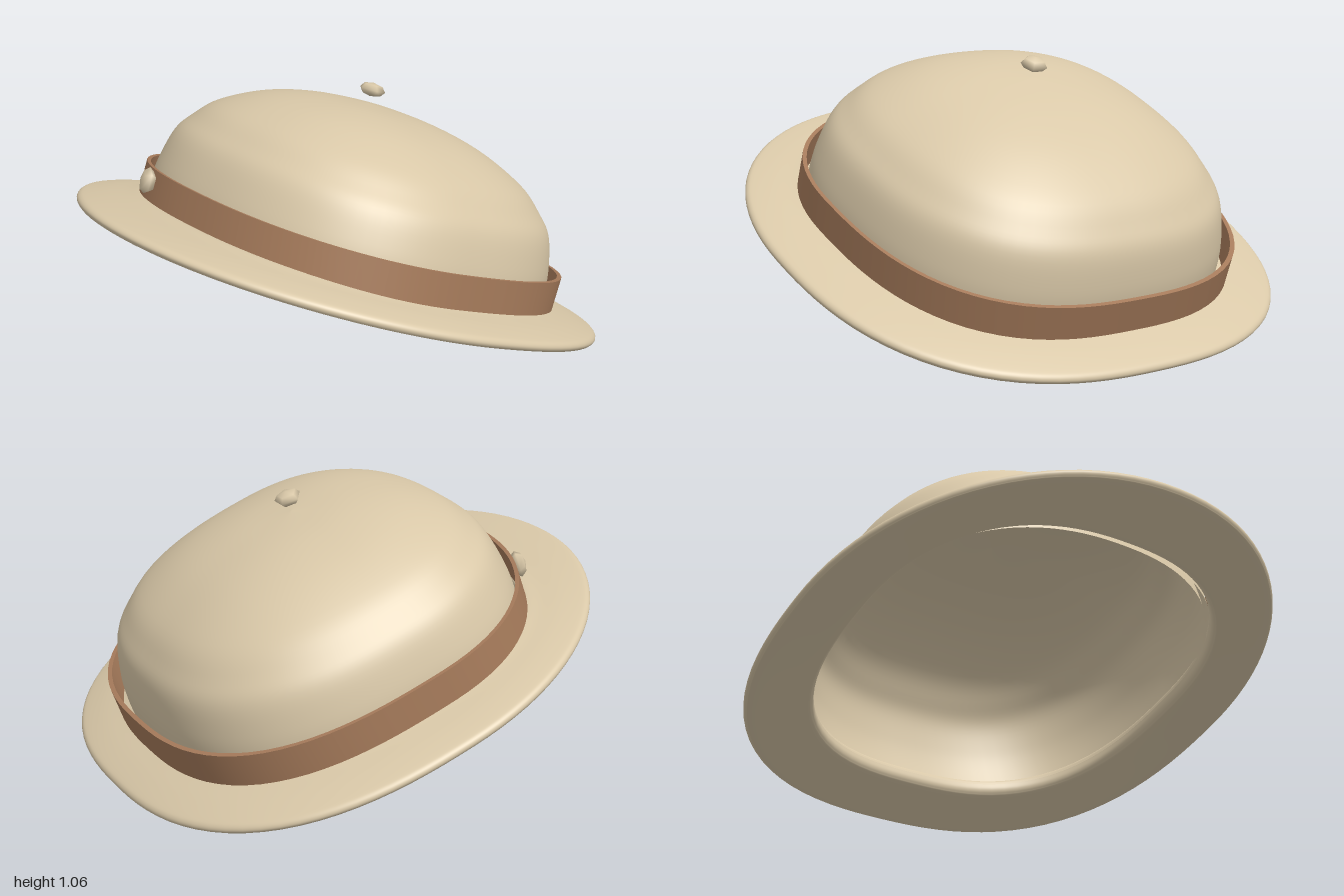
import * as THREE from 'three';

const SEG = 96;

// Egg-like outline: half width a, front and back reach, squareness differing front/back
function outline(t, { a, front, back, nf, nb, cz }) {
  const s = Math.sin(t), c = Math.cos(t);
  const b = c >= 0 ? front : back, n = c >= 0 ? nf : nb;
  const r = 1 / Math.pow(Math.pow(Math.abs(s) / a, n) + Math.pow(Math.abs(c) / b, n), 1 / n);
  return [s * r, cz + c * r];
}

// Skins a list of profile points; place(p, t) gives [x, z] of profile point p at angle t
function loft(profile, place) {
  const pos = [], idx = [];
  profile.forEach((p, i) => {
    for (let j = 0; j < SEG; j++) {
      const [x, z] = place(p, (j / SEG) * Math.PI * 2);
      pos.push(x, p[1], z);
      if (i === profile.length - 1) continue;
      const k = (j + 1) % SEG, a = i * SEG + j, b = i * SEG + k;
      idx.push(a, b, a + SEG, b, b + SEG, a + SEG);
    }
  });
  const g = new THREE.BufferGeometry();
  g.setAttribute('position', new THREE.Float32BufferAttribute(pos, 3));
  g.setIndex(idx);
  g.computeVertexNormals();
  return g;
}

const smooth = (pts, n) =>
  new THREE.SplineCurve(pts.map(p => new THREE.Vector2(...p))).getPoints(n).map(v => [v.x, v.y]);

export function createModel() {
  const cloth = new THREE.MeshStandardMaterial({ color: 0xd9c8a8, side: THREE.DoubleSide });
  cloth.name = 'tan cloth';
  const leather = new THREE.MeshStandardMaterial({ color: 0xa67b5b, side: THREE.DoubleSide });
  leather.name = 'brown leather';

  const hat = new THREE.Group();
  hat.name = 'hat';
  const add = (name, geo, mat) => {
    const m = new THREE.Mesh(geo, mat);
    m.name = name;
    hat.add(m);
    return m;
  };

  const crownShape = { a: 0.765, front: 0.67, back: 0.83, nf: 2.3, nb: 2.6, cz: 0.03 };
  const bandShape = { a: 0.8, front: 0.7, back: 0.875, nf: 2.3, nb: 2.65, cz: 0.03 };
  const holeShape = { a: 0.74, front: 0.68, back: 0.79, nf: 2.4, nb: 2.65, cz: 0.03 };
  const edgeShape = { a: 1, front: 1.02, back: 1.02, nf: 2.05, nb: 2.5, cz: 0 };

  // Crown: outer dome, then the lining just inside it
  const dome = smooth([[1, 0.03], [1, 0.13], [0.985, 0.22], [0.945, 0.33], [0.88, 0.4],
    [0.765, 0.485], [0.54, 0.572], [0.28, 0.622], [0, 0.638]], 40);
  const scaled = ([u], t) => outline(t, crownShape).map((v, i) => i ? 0.03 + (v - 0.03) * u : v * u);
  add('crown', loft(dome, scaled), cloth);
  const lining = dome.map(([u, h]) => [u * 0.975, h - 0.02 * (1 - u)]).reverse();
  add('crownLining', loft(lining, scaled), cloth);

  // Brim: closed rounded section, from the opening (0) to the outer edge (1)
  const brim = [[-0.01, 0.04], [0, 0.018], [0.04, 0.002], [0.12, -0.006], [0.5, -0.013], [0.9, -0.018],
    [0.97, -0.014], [1, 0], [0.97, 0.015], [0.88, 0.025], [0.6, 0.042], [0.3, 0.055], [0.1, 0.065],
    [0.01, 0.06], [-0.01, 0.04]];
  add('brim', loft(smooth(brim, 70), ([w], t) => {
    const p = outline(t, holeShape), q = outline(t, edgeShape);
    return p.map((v, i) => v + (q[i] - v) * w);
  }), cloth);

  // Band: upright strap; doubled points keep its edges sharp
  const o = 1, i = 0.98;
  const strap = [[o, 0.045], [o, 0.187], [o, 0.187], [i, 0.187], [i, 0.187], [i, 0.045], [i, 0.045], [o, 0.045]];
  add('band', loft(strap, ([u], t) =>
    outline(t, bandShape).map((v, k) => k ? 0.03 + (v - 0.03) * u : v * u)), leather);

  // Small faceted studs: one above the crown, one on the band
  const knob = add('topKnob', new THREE.SphereGeometry(0.054, 5, 4), cloth);
  knob.scale.y = 0.5;
  knob.rotation.y = Math.PI / 2;
  knob.position.set(0, 0.693, 0.035);
  const stud = add('bandStud', new THREE.SphereGeometry(0.055, 5, 4), cloth);
  stud.scale.y = 0.55;
  stud.rotation.set(Math.PI / 2, 0, 0.4);
  stud.position.set(-0.352, 0.137, 0.7);

  // Tip the whole hat back
  hat.rotation.x = -0.353;
  hat.position.y = 0.365;
  const model = new THREE.Group();
  model.name = 'tiltedHat';
  model.add(hat);
  return model;
}
